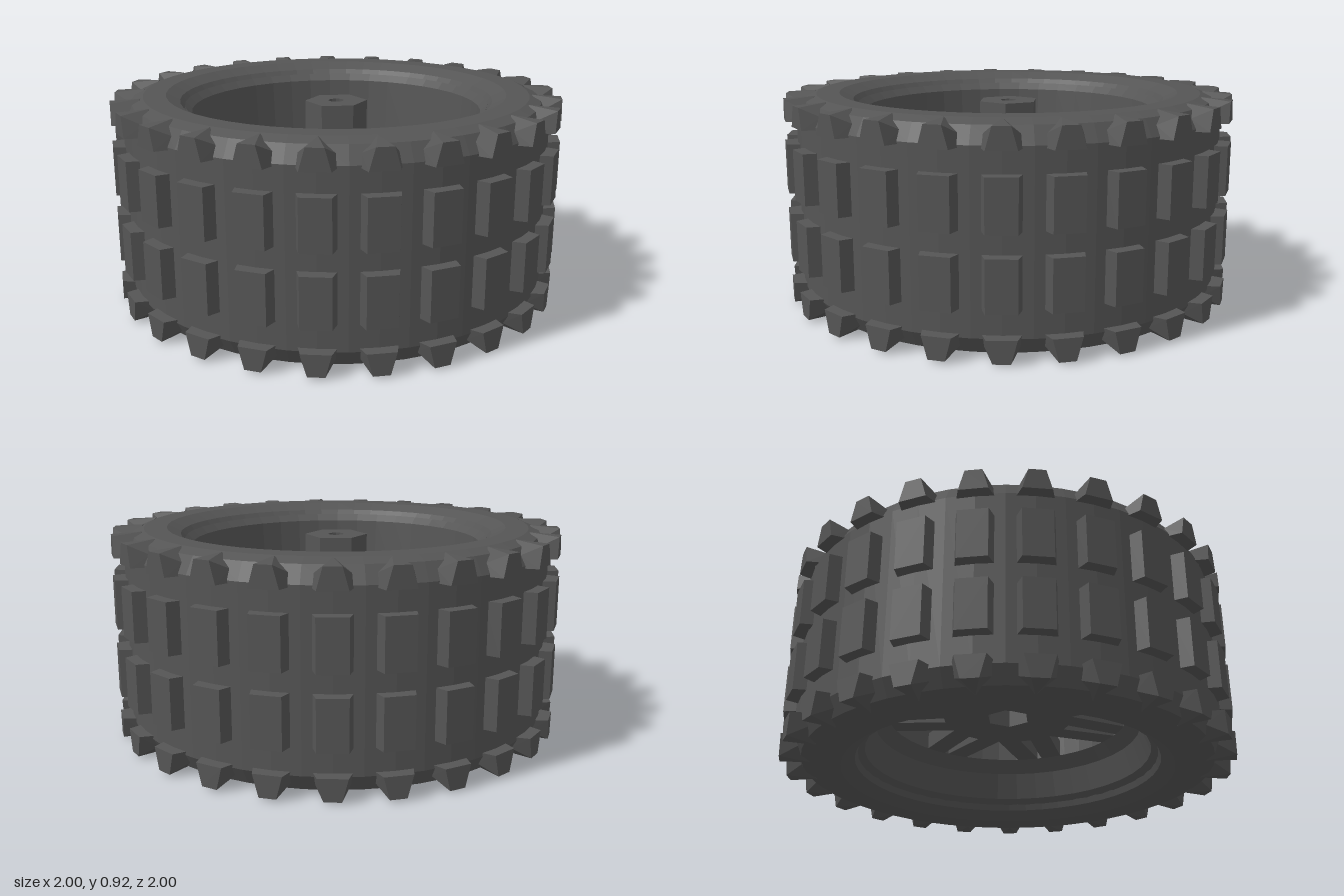
import * as THREE from 'three';
import { ConvexGeometry } from 'three/addons/geometries/ConvexGeometry.js';

const rubber = new THREE.MeshStandardMaterial({ color: 0x555555, flatShading: true });
const dark = new THREE.MeshStandardMaterial({ color: 0x222222, flatShading: true });

function add(parent, name, geometry, material = rubber) {
  const mesh = new THREE.Mesh(geometry, material);
  mesh.name = name;
  parent.add(mesh);
  return mesh;
}

// Revolved profile, given as [radius, height] pairs
const lathe = (pts, segments) =>
  new THREE.LatheGeometry(pts.map(([r, y]) => new THREE.Vector2(r, y)), segments);

// Regular polygon outline in the plane
const polygon = (radius, sides) => Array.from({ length: sides }, (_, i) => {
  const a = (i / sides) * Math.PI * 2;
  return new THREE.Vector2(Math.cos(a) * radius, Math.sin(a) * radius);
});

// Upright prism with a hole through it
function prism(outer, hole, y0, y1) {
  const shape = new THREE.Shape(outer);
  shape.holes.push(new THREE.Path(hole));
  const g = new THREE.ExtrudeGeometry(shape, { depth: y1 - y0, bevelEnabled: false });
  return g.rotateX(-Math.PI / 2).translate(0, y0, 0);
}

// Convex lug mirrored across x = 0; points are [half width, height, radius], facing -z
function lug(points) {
  const v = [];
  for (const [x, y, r] of points) {
    v.push(new THREE.Vector3(x, y, -r));
    if (x > 0) v.push(new THREE.Vector3(-x, y, -r));
  }
  return new ConvexGeometry(v);
}

export function createModel() {
  const wheel = new THREE.Group();
  wheel.name = 'wheel';

  // Tyre carcass with rounded shoulders
  add(wheel, 'tyre', lathe([
    [0.68, 0.05], [0.74, 0.01], [0.86, 0.01], [0.91, 0.03], [0.95, 0.1],
    [0.95, 0.84], [0.91, 0.91], [0.86, 0.93], [0.76, 0.93], [0.7, 0.9],
    [0.66, 0.85], [0.66, 0.1], [0.68, 0.05],
  ], 50));

  // Rim barrel with a step down to the spokes
  add(wheel, 'rim', lathe([
    [0.68, 0.07], [0.68, 0.88], [0.65, 0.85], [0.63, 0.6], [0.56, 0.54],
    [0.55, 0.28], [0.6, 0.22], [0.64, 0.1], [0.68, 0.07],
  ], 40));

  // Tread: two rows of blocks and a pointed lug on each shoulder
  const block = y => lug([
    [0.08, y, 0.93], [0.08, y + 0.215, 0.93],
    [0.062, y, 1], [0.062, y + 0.215, 1],
  ]);
  const shoulder = lug([
    [0.08, 0.83, 0.93], [0.06, 0.83, 1], [0.035, 0.92, 1],
    [0.07, 0.88, 0.92], [0, 0.93, 0.87],
  ]);
  const lowerShoulder = lug([
    [0.08, 0.115, 0.93], [0.06, 0.115, 1], [0.035, 0.02, 1],
    [0.07, 0.06, 0.92], [0, 0.012, 0.87],
  ]);
  const lugs = { upperBlock: block(0.52), lowerBlock: block(0.215), upperLug: shoulder, lowerLug: lowerShoulder };
  const tread = new THREE.Group();
  tread.name = 'tread';
  wheel.add(tread);
  const count = 25;
  for (let i = 0; i < count; i++) {
    for (const [name, g] of Object.entries(lugs)) {
      add(tread, name, g).rotation.y = (i / count) * Math.PI * 2;
    }
  }

  // Seven pairs of spokes
  const spoke = new THREE.BoxGeometry(0.1, 0.08, 0.36);
  for (let i = 0; i < 7; i++) {
    const pair = new THREE.Group();
    pair.name = 'spokePair';
    pair.rotation.y = (i / 7) * Math.PI * 2;
    for (const side of [-1, 1]) {
      const s = add(pair, 'spoke', spoke);
      s.position.set(side * 0.07, 0.32, -0.39);
      s.rotation.y = side * 0.06;
    }
    wheel.add(pair);
  }

  // Hub: plate with hexagonal socket below, sloped collar, hexagonal post with bore
  const hub = new THREE.Group();
  hub.name = 'hub';
  wheel.add(hub);
  add(hub, 'hubPlate', prism(polygon(0.3, 14), polygon(0.1, 6), 0.28, 0.37));
  add(hub, 'hubCollar', lathe([
    [0.035, 0.36], [0.295, 0.36], [0.24, 0.43], [0.035, 0.43], [0.035, 0.36],
  ], 14));
  add(hub, 'hubPost', prism(polygon(0.14, 6), polygon(0.035, 12), 0.42, 0.88));

  // Set screw hole in one face of the post
  const screw = add(hub, 'setScrewHole', new THREE.CylinderGeometry(0.025, 0.025, 0.02, 12), dark);
  screw.geometry.rotateZ(Math.PI / 2).translate(0.113, 0.74, 0);
  screw.rotation.y = Math.PI / 6;

  return wheel;
}
